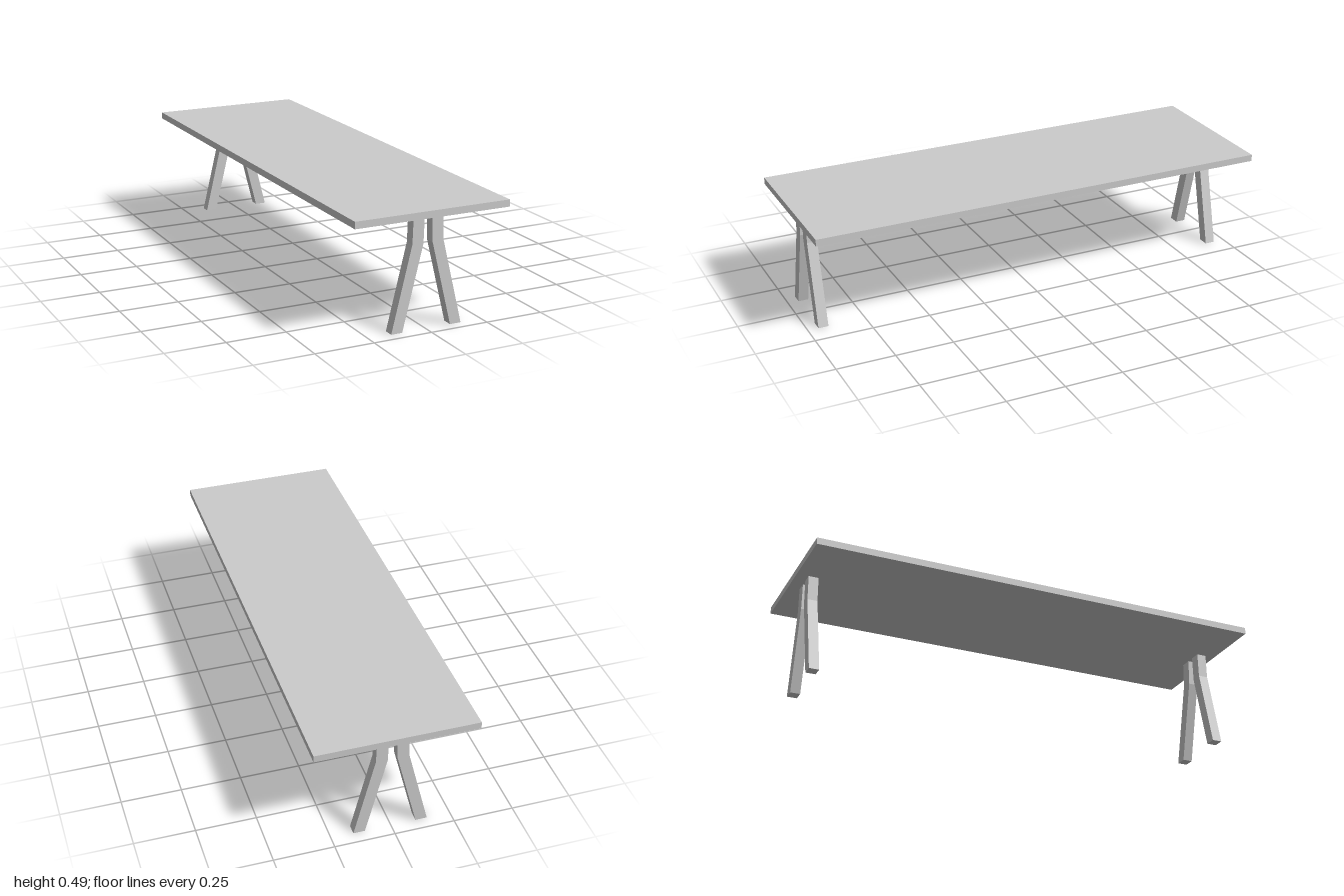
import * as THREE from 'three';

const TOP_WIDTH = 0.672, TOP_THICKNESS = 0.029, TOP_UNDERSIDE = 0.46;
const LEG_DEPTH = 0.043, LEG_AXIS = 0.0025;

export function createModel() {
  const table = new THREE.Group();
  table.name = 'table';
  const material = new THREE.MeshStandardMaterial({ color: 0xcccccc, flatShading: true });

  // Long flat top
  const top = new THREE.Mesh(new THREE.BoxGeometry(TOP_WIDTH, TOP_THICKNESS, 2), material);
  top.name = 'tabletop';
  top.position.y = TOP_UNDERSIDE + TOP_THICKNESS / 2;
  table.add(top);

  // Bent leg outline, splaying outwards below the knee
  const legGeometry = (side) => {
    const outline = [
      [0.0165, TOP_UNDERSIDE], [0.0203, 0.347], [0.1065, 0], [0.1545, 0],
      [0.0685, 0.35], [0.065, TOP_UNDERSIDE],
    ].map(([x, y]) => new THREE.Vector2(side * x, y));
    const geometry = new THREE.ExtrudeGeometry(new THREE.Shape(outline), {
      depth: LEG_DEPTH, bevelEnabled: false,
    });
    return geometry.translate(0, 0, -LEG_DEPTH / 2);
  };

  // A pair of mirrored legs near each end
  for (const [end, z] of [['front', 0.933], ['back', -0.928]]) {
    const pair = new THREE.Group();
    pair.name = `${end}Legs`;
    pair.position.set(LEG_AXIS, 0, z);
    for (const [name, side] of [['Left', 1], ['Right', -1]]) {
      const leg = new THREE.Mesh(legGeometry(side), material);
      leg.name = `${end}${name}Leg`;
      pair.add(leg);
    }
    table.add(pair);
  }
  return table;
}
